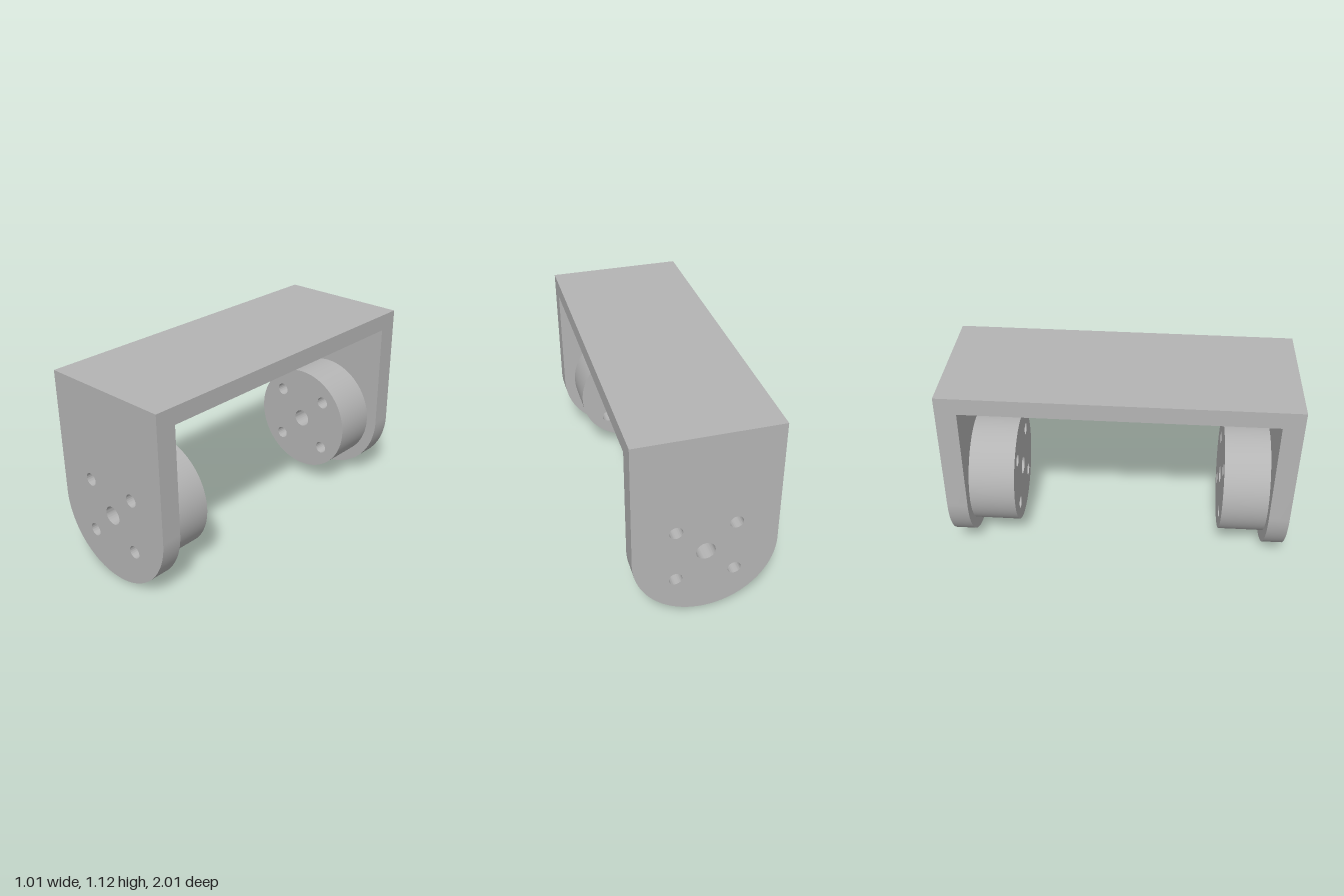
import * as THREE from 'three';
import { toCreasedNormals } from 'three/addons/utils/BufferGeometryUtils.js';

const HALF_LENGTH = 0.9575, HALF_WIDTH = 0.386;
const PLATE = 0.115, TOP = 0.095;      // wall thicknesses
const DROP = 0.71;                     // hole centre below the top face
const BOSS_RADIUS = 0.32, BOSS_LENGTH = 0.257;

function circlePath(x, y, r) {
  return new THREE.Path().absarc(x, y, r, 0, Math.PI * 2, true);
}

// Centre bore plus four bolt holes, shared by plates and bosses
function addHoles(shape) {
  shape.holes.push(circlePath(0, 0, 0.052));
  for (const sx of [-1, 1]) {
    for (const sy of [-1, 1]) shape.holes.push(circlePath(sx * 0.158, sy * 0.155, 0.036));
  }
  return shape;
}

function extrude(shape, depth) {
  const geometry = new THREE.ExtrudeGeometry(shape, { depth, bevelEnabled: false, curveSegments: 48 });
  return toCreasedNormals(geometry, 0.5);
}

export function createModel() {
  const grey = new THREE.MeshStandardMaterial({ color: 0xb4b4b4 });
  grey.name = 'plain grey';

  const model = new THREE.Group();
  model.name = 'bracket';

  const addMesh = (parent, name, geometry) => {
    const mesh = new THREE.Mesh(geometry, grey);
    mesh.name = name;
    parent.add(mesh);
    return mesh;
  };

  // Side plate: square top, semicircular bottom, origin at the bore
  const plateShape = new THREE.Shape();
  plateShape.moveTo(HALF_WIDTH, DROP);
  plateShape.lineTo(-HALF_WIDTH, DROP);
  plateShape.lineTo(-HALF_WIDTH, 0);
  plateShape.absarc(0, 0, HALF_WIDTH, Math.PI, Math.PI * 2, false);
  plateShape.closePath();
  const plateGeometry = extrude(addHoles(plateShape), PLATE);

  // Round boss on the inner face of each plate
  const bossShape = new THREE.Shape().absarc(0, 0, BOSS_RADIUS, 0, Math.PI * 2, false);
  const bossGeometry = extrude(addHoles(bossShape), BOSS_LENGTH);

  // Two matching ends, the back one turned half round
  for (const [name, turn] of [['front', 0], ['back', Math.PI]]) {
    const end = new THREE.Group();
    end.name = name + 'End';
    end.rotation.y = turn;
    addMesh(end, name + 'Plate', plateGeometry).position.set(0, -DROP, HALF_LENGTH - PLATE);
    addMesh(end, name + 'Boss', bossGeometry).position.set(0, -DROP, HALF_LENGTH - PLATE - BOSS_LENGTH);
    model.add(end);
  }

  // Bridge joining the plates
  const bridge = new THREE.BoxGeometry(HALF_WIDTH * 2, TOP, (HALF_LENGTH - PLATE) * 2);
  addMesh(model, 'topBridge', bridge).position.y = -TOP / 2;

  // The whole bracket stands slightly turned and tipped forward
  model.rotation.set(0.0125, 0.125, 0, 'YXZ');
  model.position.set(0, 1.109, 0.005);

  const root = new THREE.Group();
  root.name = 'uBracket';
  root.add(model);
  return root;
}
